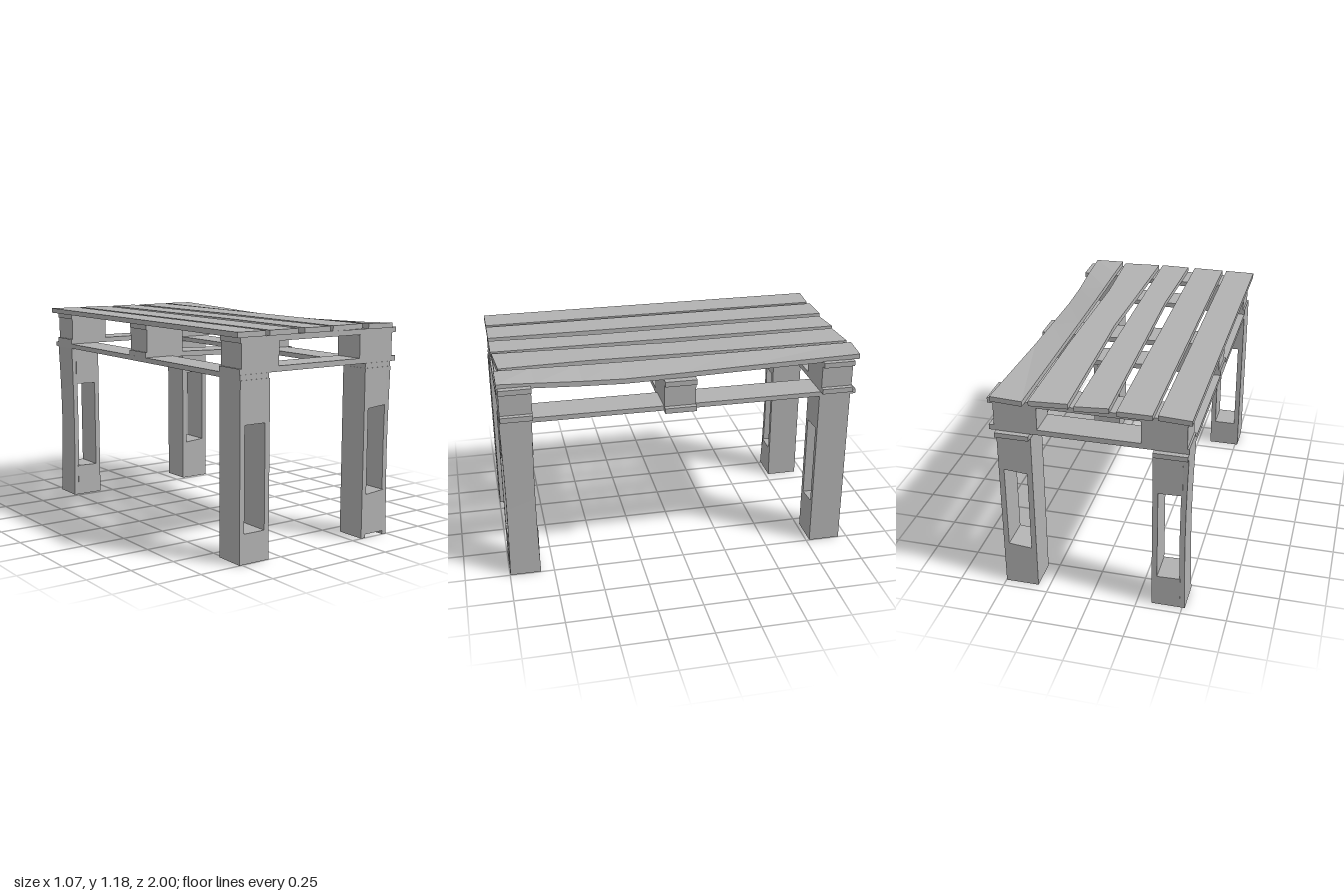
import * as THREE from 'three';

export function createModel() {
  const group = new THREE.Group();
  group.name = 'palletTable';
  const wood = new THREE.MeshStandardMaterial({ color: 0xb2b2b2 });
  wood.name = 'grey wood';

  const add = (name, geometry, parent = group) => {
    const mesh = new THREE.Mesh(geometry, wood);
    mesh.name = name;
    parent.add(mesh);
    return mesh;
  };

  // Box given by its limits; an optional rule moves each vertex
  function beam(name, [x0, x1], [y0, y1], [z0, z1], rule, parent, ySegments = 1) {
    const g = new THREE.BoxGeometry(x1 - x0, y1 - y0, z1 - z0, 1, ySegments, 1);
    g.translate((x0 + x1) / 2, (y0 + y1) / 2, (z0 + z1) / 2);
    if (rule) {
      const p = g.attributes.position;
      const v = new THREE.Vector3();
      for (let i = 0; i < p.count; i++) {
        v.fromBufferAttribute(p, i);
        rule(v);
        p.setXYZ(i, v.x, v.y, v.z);
      }
      g.computeVertexNormals();
    }
    return add(name, g, parent);
  }

  // Warped plank from sections, front to back: [zL, zR, xL, xR, dropL, dropR]
  function plank(name, sections) {
    const bottom = 1.15, top = 1.178;
    const rings = sections.map(([zL, zR, xL, xR, dL = 0, dR = 0]) => [
      [xL, bottom - dL, zL], [xR, bottom - dR, zR],
      [xR, top - dR, zR], [xL, top - dL, zL],
    ]);
    const pos = [];
    const quad = (a, b, c, d) => pos.push(...a, ...b, ...c, ...a, ...c, ...d);
    quad(...rings[0]);
    for (let i = 0; i + 1 < rings.length; i++) {
      const a = rings[i], b = rings[i + 1];
      for (let k = 0; k < 4; k++) {
        const n = (k + 1) % 4;
        quad(a[k], b[k], b[n], a[n]);
      }
    }
    quad(...[...rings[rings.length - 1]].reverse());
    const g = new THREE.BufferGeometry();
    g.setAttribute('position', new THREE.Float32BufferAttribute(pos, 3));
    g.computeVertexNormals();
    add(name, g);
  }

  // Table top: five hand-cut planks
  plank('topPlank1', [[1, 1, -0.535, -0.36], [-0.99, -0.975, -0.535, -0.36]]);
  plank('topPlank2', [[1, 1, -0.335, -0.153], [-0.985, -0.985, -0.335, -0.153]]);
  plank('topPlank3', [
    [1, 1, -0.11, 0.06], [0.4, 0.4, -0.09, 0.062],
    [-0.25, -0.25, -0.1, 0.064], [-0.965, -0.985, -0.11, 0.065],
  ]);
  plank('topPlank4', [
    [0.995, 0.975, 0.083, 0.305], [0.5, 0.5, 0.1, 0.288],
    [0, 0, 0.12, 0.298], [-0.3, -0.3, 0.112, 0.303], [-0.97, -0.985, 0.1, 0.303],
  ]);
  plank('topPlank5', [
    [1, 1, 0.328, 0.502, 0, 0.004], [0.8, 0.8, 0.33, 0.5, 0.001, 0.014],
    [0.55, 0.55, 0.33, 0.493, 0.004, 0.029], [0.32, 0.32, 0.33, 0.493, 0.006, 0.036],
    [0, 0, 0.33, 0.495, 0.005, 0.029], [-0.3, -0.3, 0.33, 0.495, 0.003, 0.021],
    [-1, -0.985, 0.33, 0.507],
  ]);

  // Pallet frame: cross slats, blocks and lower rails at three stations
  const stations = [
    { name: 'front', z: [0.82, 0.993], tilt: 0 },
    { name: 'middle', z: [-0.062, 0.113], tilt: 0.03 },
    { name: 'back', z: [-0.95, -0.775], tilt: 0 },
  ];
  for (const { name, z, tilt } of stations) {
    const sag = (v) => { v.y -= tilt * (v.x + 0.51) / 1.045; };
    beam(name + 'UpperSlat', [-0.51, 0.535], [1.121, 1.15], z, sag);
    beam(name + 'LowerSlat', [-0.515, 0.535], [0.966, 0.995], z, sag);
    beam(name + 'RightBlock', [-0.505, -0.27], [0.995, 1.121], z, sag);
    beam(name + 'LeftBlock', [0.275, 0.507], [0.995, 1.121], z, sag);
  }
  beam('rightStringer', [-0.515, -0.335], [0.939, 0.966], [-0.98, 0.995]);
  beam('leftStringer', [0.315, 0.498], [0.939, 0.966], [-0.98, 0.995]);

  // Legs: two boards with a block between them at the top and bottom
  const legs = [
    { name: 'frontRightLeg', x: [-0.515, -0.33], z: [0.825, 0.998], foot: [0, 0.16], head: 0.715, slope: 0 },
    { name: 'backRightLeg', x: [-0.515, -0.33], z: [-0.95, -0.77], foot: [0, 0.188], head: 0.715, slope: -0.004, bow: 0.01 },
    { name: 'frontLeftLeg', x: [0.313, 0.498], z: [0.825, 0.998], foot: [0.02, 0.245], head: 0.72, slope: 0.011, bow: -0.003 },
    { name: 'backLeftLeg', x: [0.313, 0.498], z: [-0.95, -0.77], foot: [0, 0.245], head: 0.72, slope: 0.011 },
  ];
  for (const { name, x, z, foot, head, slope, bow = 0 } of legs) {
    const leg = new THREE.Group();
    leg.name = name;
    group.add(leg);
    const t = 0.029;
    const low = [x[0], x[0] + t], high = [x[1] - t, x[1]];
    const [outer, inner] = x[0] < 0 ? [low, high] : [high, low];
    const zMid = (z[0] + z[1]) / 2;
    // Worn outer boards bow inward and narrow slightly at mid height
    const worn = (v) => {
      const k = Math.sin(Math.PI * v.y / 0.939);
      v.x += bow * k;
      if (bow) v.z -= (v.z - zMid) * 0.08 * k;
    };
    beam('outerBoard', outer, [0, 0.939], z, worn, leg, bow ? 6 : 1);
    beam('innerBoard', inner, [0, 0.939], z, null, leg);
    const gap = [x[0] + t, x[1] - t];
    const slant = (edge) => (v) => {
      if (Math.abs(v.y - edge) < 0.001) v.y += slope * (v.x - gap[0]) / (gap[1] - gap[0]);
    };
    beam('footBlock', gap, foot, z, slant(foot[1]), leg);
    beam('headBlock', gap, [head, 0.939], z, slant(head), leg);
  }
  return group;
}
